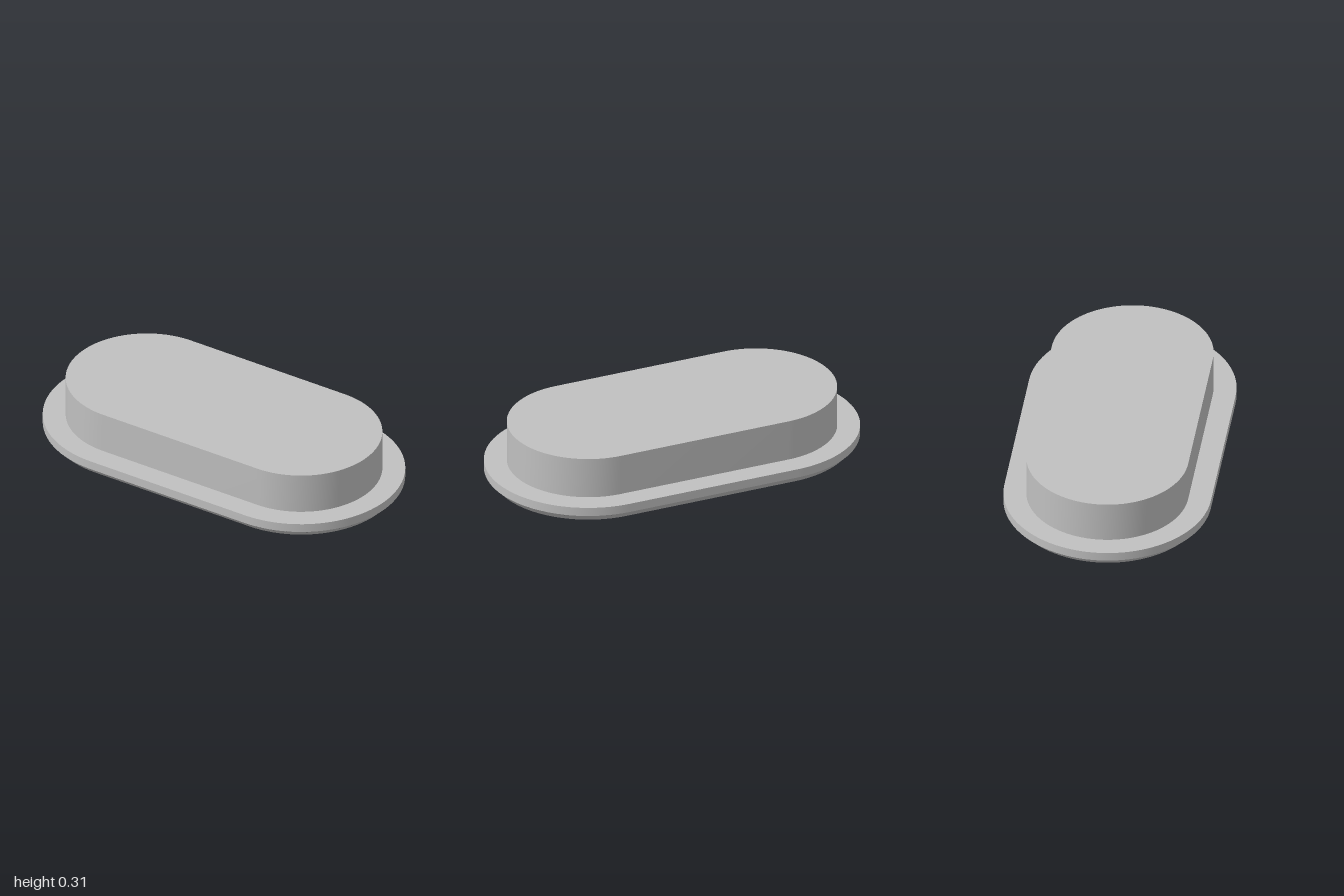
import * as THREE from 'three';
import { toCreasedNormals } from 'three/addons/utils/BufferGeometryUtils.js';

const HALF = 0.468;     // half the straight run, same for every outline
const SEGMENTS = 48;    // per rounded end
const NOTCH = { half: 0.083, inner: 0.81, top: 0.037 };

// Counter-clockwise oblong outline; optionally with a rectangular notch in the +x end
function oblong(radius, notched = false) {
  const points = [];
  const arc = (cx, from, to) => {
    for (let i = 0; i <= SEGMENTS; i++) {
      const a = from + (to - from) * i / SEGMENTS;
      points.push(new THREE.Vector2(cx + radius * Math.cos(a), radius * Math.sin(a)));
    }
  };
  const q = Math.PI / 2;
  if (notched) {
    const a = Math.asin(NOTCH.half / radius);
    points.push(new THREE.Vector2(NOTCH.inner, NOTCH.half));
    arc(HALF, a, q);
    arc(-HALF, q, 3 * q);
    arc(HALF, 3 * q, 4 * q - a);
    points.push(new THREE.Vector2(NOTCH.inner, -NOTCH.half));
  } else {
    arc(HALF, -q, q);
    arc(-HALF, q, 3 * q);
  }
  return points;
}

// Solid through stacked outlines [points, y], with flat caps where asked
function loft(layers, capBottom, capTop) {
  const n = layers[0][0].length;
  const position = [], index = [];
  for (const [points, y] of layers) for (const p of points) position.push(p.x, y, -p.y);
  for (let k = 0; k < layers.length - 1; k++) {
    for (let i = 0; i < n; i++) {
      const j = (i + 1) % n, a = k * n, b = a + n;
      index.push(a + i, a + j, b + j, a + i, b + j, b + i);
    }
  }
  const last = (layers.length - 1) * n;
  if (capBottom) {
    for (const [a, b, c] of THREE.ShapeUtils.triangulateShape(layers[0][0], [])) index.push(a, c, b);
  }
  if (capTop) {
    for (const [a, b, c] of THREE.ShapeUtils.triangulateShape(layers[layers.length - 1][0], [])) {
      index.push(last + a, last + b, last + c);
    }
  }
  const geometry = new THREE.BufferGeometry();
  geometry.setAttribute('position', new THREE.Float32BufferAttribute(position, 3));
  geometry.setIndex(index);
  return toCreasedNormals(geometry, 0.5);
}

export function createModel() {
  const group = new THREE.Group();
  group.name = 'oblongPlug';
  const grey = new THREE.MeshStandardMaterial({ color: 0xc0c0c0 });
  grey.name = 'light grey';

  const add = (name, geometry) => {
    const mesh = new THREE.Mesh(geometry, grey);
    mesh.name = name;
    group.add(mesh);
  };

  // Lower part of the bevel, cut by the pry notch
  add('notchedBase', loft([[oblong(0.49, true), 0], [oblong(0.526, true), NOTCH.top]], true, false));
  // Rest of the bevel and the rim; its underside is the notch ceiling
  add('flange', loft([[oblong(0.526), NOTCH.top], [oblong(0.532), 0.043], [oblong(0.532), 0.09]], true, true));
  // Raised body
  add('plugBody', loft([[oblong(0.415), 0.09], [oblong(0.415), 0.31]], false, true));
  return group;
}
